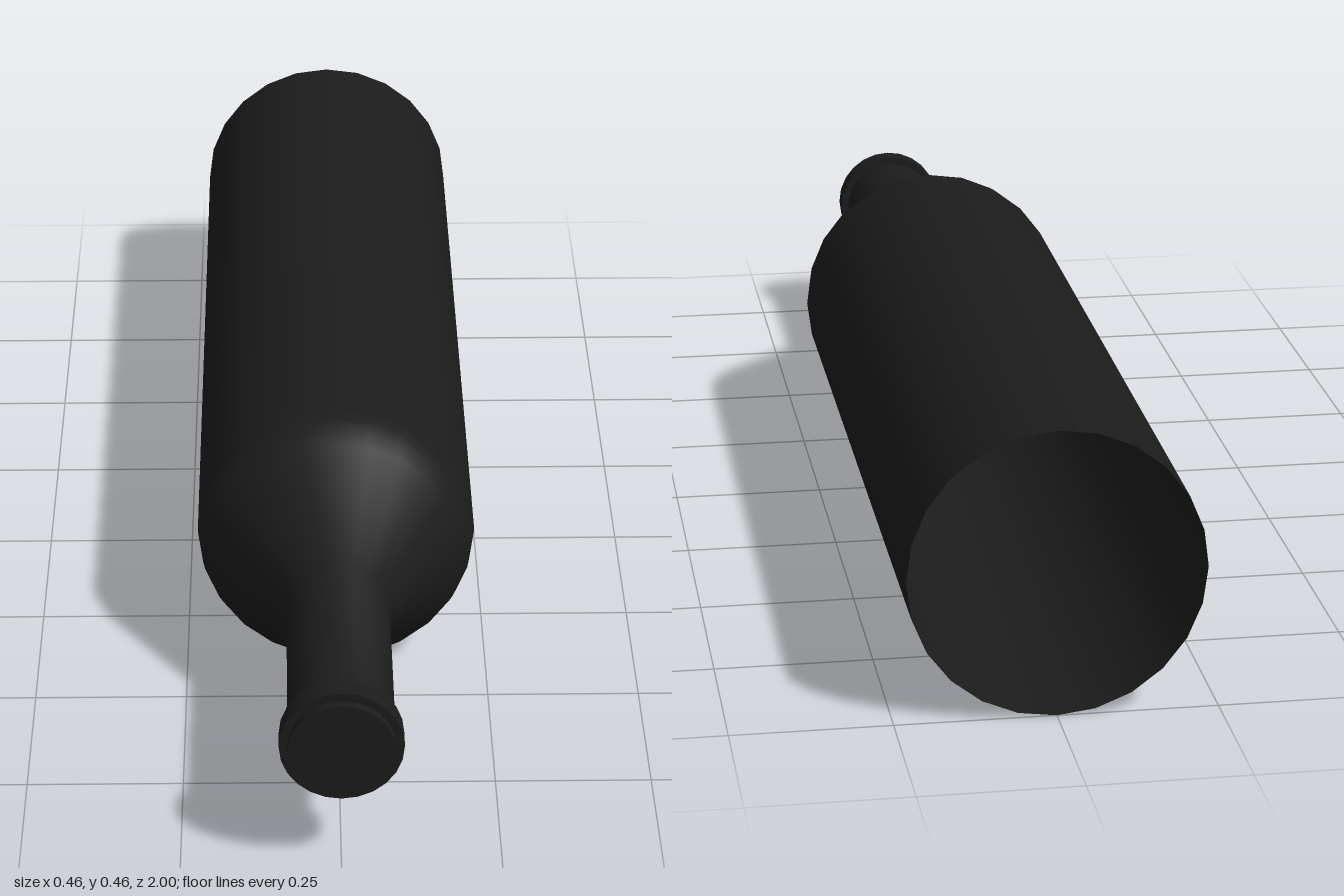
import * as THREE from 'three';
import { toCreasedNormals } from 'three/addons/utils/BufferGeometryUtils.js';

const SIDES = 24;
const AXIS_HEIGHT = 0.23;

export function createModel() {
  const group = new THREE.Group();
  group.name = 'bottle';
  const glass = new THREE.MeshStandardMaterial({ color: 0x1c1c1c, side: THREE.DoubleSide });

  // Turn a [radius, z] profile around the bottle's lengthwise axis
  const turned = (name, profile, crease) => {
    const points = profile.map(([r, z]) => new THREE.Vector2(r, z));
    const geometry = new THREE.LatheGeometry(points, SIDES).rotateX(Math.PI / 2);
    const mesh = new THREE.Mesh(toCreasedNormals(geometry, crease), glass);
    mesh.name = name;
    mesh.position.y = AXIS_HEIGHT;
    group.add(mesh);
  };

  // Open-based body, rounded shoulder and straight neck
  turned('body', [
    [0.23, -1], [0.23, 0.35], [0.226, 0.375], [0.218, 0.397], [0.205, 0.42],
    [0.083, 0.6], [0.083, 1],
  ], 0.7);

  // Flat closure at the mouth
  turned('mouthCap', [[0.083, 1], [0, 1]], 0.5);

  // Raised band just behind the mouth
  turned('lipRing', [
    [0.083, 0.948], [0.096, 0.948], [0.096, 0.985], [0.083, 0.985],
  ], 0.5);

  return group;
}
